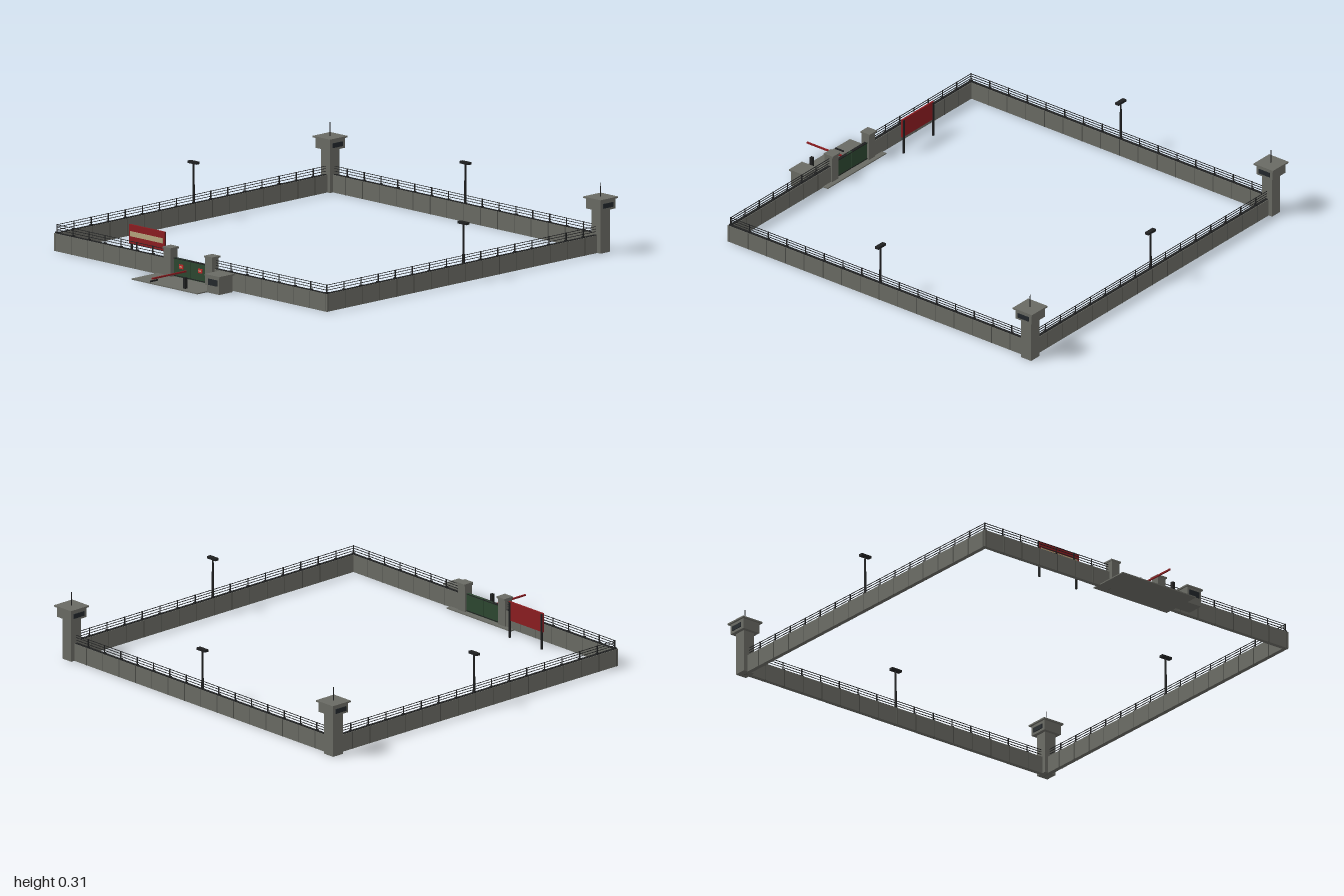
import * as THREE from 'three';

const mat = (name, color) => Object.assign(new THREE.MeshStandardMaterial({ color }), { name });

export function createModel() {
  const concrete = mat('concrete', 0x696a63);
  const joint = mat('joint grey', 0x50514c);
  const dark = mat('dark metal', 0x1f2021);
  const glass = mat('dark glass', 0x22272b);
  const green = mat('gate green', 0x2c4630);
  const red = mat('red', 0x8a1c20);
  const signRed = mat('sign red', 0xc0282a);
  const beige = mat('beige', 0xb5a47c);

  const model = new THREE.Group();
  model.name = 'walledCompound';

  const group = (name, parent = model, x = 0, y = 0, z = 0) => {
    const g = new THREE.Group();
    g.name = name;
    g.position.set(x, y, z);
    parent.add(g);
    return g;
  };
  // Box given by its centre in x and z and its bottom and top in y
  const box = (name, parent, m, w, d, y0, y1, x = 0, z = 0) => {
    const mesh = new THREE.Mesh(new THREE.BoxGeometry(w, y1 - y0, d), m);
    mesh.name = name;
    mesh.position.set(x, (y0 + y1) / 2, z);
    parent.add(mesh);
    return mesh;
  };
  const rod = (name, parent, m, r0, r1, y0, y1, x = 0, z = 0) => {
    const mesh = new THREE.Mesh(new THREE.CylinderGeometry(r1, r0, y1 - y0, 8), m);
    mesh.name = name;
    mesh.position.set(x, (y0 + y1) / 2, z);
    parent.add(mesh);
    return mesh;
  };

  const X = 0.848, BACK = -0.943, FRONT = 0.752, H = 0.08;

  // Straight wall run along local x, with joints, coping and wire fence
  function wall(name, length, x, z, turn, bays) {
    const g = group(name, model, x, 0, z);
    g.rotation.y = turn;
    box('wallPanel', g, concrete, length, 0.02, 0, H);
    box('coping', g, dark, length, 0.014, H, H + 0.002);
    for (const y of [0.095, 0.107, 0.118]) box('fenceWire', g, dark, length, 0.003, y - 0.001, y + 0.001);
    for (let i = 0; i <= bays; i++) {
      const px = -length / 2 + (length * i) / bays;
      box('wallJoint', g, joint, 0.004, 0.022, 0, H, px);
      box('fencePost', g, dark, 0.004, 0.004, H, 0.12, px);
      box('postFoot', g, dark, 0.012, 0.012, H, 0.086, px);
    }
  }
  const side = FRONT - BACK, half = X - 0.145;
  wall('backWall', 2 * X, 0, BACK, 0, 16);
  for (const s of [-1, 1]) {
    wall(s > 0 ? 'leftWall' : 'rightWall', side, s * X, (FRONT + BACK) / 2, Math.PI / 2, 16);
    wall(s > 0 ? 'frontLeftWall' : 'frontRightWall', half, s * (0.145 + half / 2), FRONT, 0, 7);
    box('wallCorner', model, concrete, 0.02, 0.02, 0, H, s * X, FRONT);
  }

  // Watchtowers on the back corners
  for (const s of [-1, 1]) {
    const t = group(s > 0 ? 'leftTower' : 'rightTower', model, s * 0.85, 0, BACK);
    box('towerShaft', t, concrete, 0.058, 0.058, 0, 0.196);
    box('towerCabin', t, concrete, 0.092, 0.092, 0.196, 0.243);
    for (const f of [-1, 1]) {
      box('towerWindow', t, glass, 0.006, 0.062, 0.207, 0.228, f * 0.047);
    }
    box('towerRoof', t, concrete, 0.11, 0.11, 0.243, 0.25);
    rod('antenna', t, dark, 0.002, 0.0015, 0.25, 0.312);
  }

  // Floodlight masts
  for (const [x, z] of [[-X, -0.095], [X, -0.095], [0, BACK]]) {
    const l = group('floodlight', model, x, 0, z);
    rod('mast', l, dark, 0.006, 0.004, H, 0.262);
    box('lampHead', l, dark, 0.054, 0.02, 0.26, 0.271);
  }

  // Forecourt slab and gate
  box('forecourt', model, concrete, 0.414, 0.206, 0, 0.005, 0, 0.82);
  const gate = group('gate', model, 0, 0, FRONT);
  for (const s of [-1, 1]) {
    box('gatePillar', gate, concrete, 0.044, 0.042, 0, 0.128, s * 0.13, 0.005);
    box('pillarCap', gate, concrete, 0.052, 0.052, 0.128, 0.136, s * 0.13, 0.003);
    box('gateLeaf', gate, green, 0.106, 0.012, 0.006, 0.09, s * 0.0545);
    for (const y of [0.008, 0.086]) box('gateRail', gate, dark, 0.106, 0.014, y, y + 0.004, s * 0.0545);
    box('gateSign', gate, signRed, 0.026, 0.003, 0.046, 0.066, s * 0.06, 0.008);
    box('signBand', gate, beige, 0.014, 0.002, 0.053, 0.059, s * 0.06, 0.0095);
  }

  // Road barrier
  const barrier = group('barrier');
  box('barrierArm', barrier, red, 0.007, 0.21, 0.046, 0.053, 0, 0.895);
  box('barrierPost', barrier, dark, 0.014, 0.014, 0.005, 0.055, 0.1, 0.893);
  box('barrierRest', barrier, dark, 0.004, 0.046, 0.005, 0.012, -0.096, 0.893);

  // Guard booth
  const booth = group('guardBooth', model, 0.245, 0, 0.822);
  box('boothBody', booth, concrete, 0.078, 0.082, 0, 0.076);
  box('boothRoof', booth, concrete, 0.092, 0.094, 0.076, 0.083);
  box('boothWindow', booth, glass, 0.056, 0.003, 0.036, 0.064, 0, 0.042);

  // Roadside board behind the front wall
  const board = group('board', model, -0.365, 0, 0.668);
  box('boardPanel', board, red, 0.222, 0.008, 0.08, 0.168);
  box('boardBand', board, beige, 0.204, 0.002, 0.115, 0.138, 0, 0.005);
  for (const s of [-1, 1]) box('boardLeg', board, dark, 0.008, 0.008, 0, 0.165, s * 0.104, -0.005);

  return model;
}
